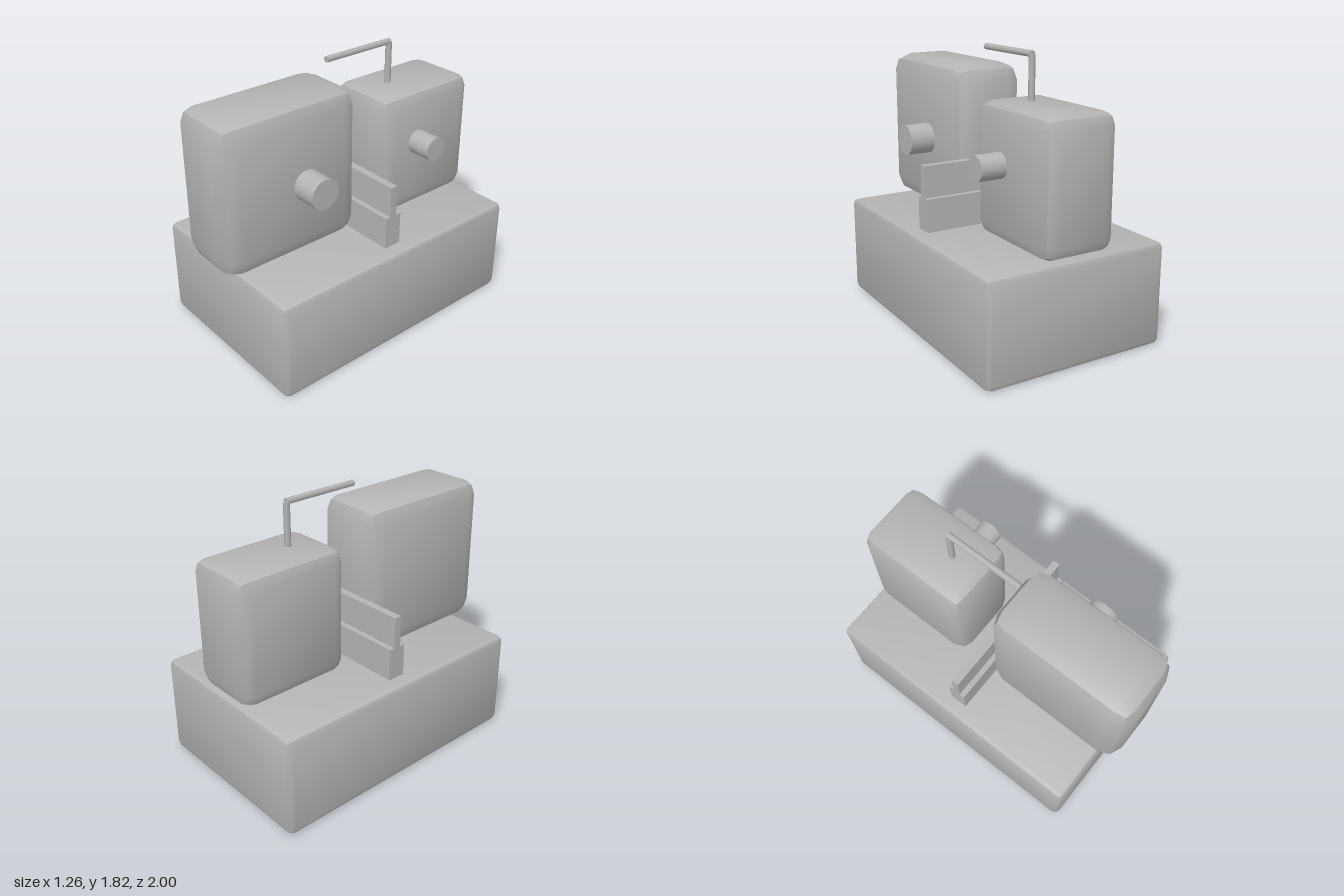
import * as THREE from 'three';
import { RoundedBoxGeometry } from 'three/addons/geometries/RoundedBoxGeometry.js';
import { toCreasedNormals } from 'three/addons/utils/BufferGeometryUtils.js';

export function createModel() {
  const model = new THREE.Group();
  const grey = new THREE.MeshStandardMaterial({ color: 0xb4b4b4 });
  grey.name = 'plain grey';

  const add = (name, geometry, x, y, z) => {
    const mesh = new THREE.Mesh(geometry, grey);
    mesh.name = name;
    mesh.position.set(x, y, z);
    model.add(mesh);
    return mesh;
  };

  // Block with bevelled edges, creased along the middle of each bevel
  const block = (name, size, radius, x, y, z) =>
    add(name, toCreasedNormals(new RoundedBoxGeometry(...size, 1, radius), 0.6), x, y, z);

  // Base and the two upright housings
  block('base', [1.26, 0.674, 1.89], 0.04, 0, 0.337, -0.055);
  block('frontHousing', [0.5, 1.006, 1.005], 0.115, 0, 1.18, 0.4975);
  block('rearHousing', [0.5, 0.84, 0.78], 0.085, 0, 1.096, -0.61);

  // Stepped divider between the housings
  add('dividerFoot', new THREE.BoxGeometry(1.05, 0.22, 0.122), 0, 0.78, -0.049);
  add('dividerBlade', new THREE.BoxGeometry(1.05, 0.206, 0.05), 0, 0.993, -0.048);

  // Round knobs on the left side
  for (const [name, radius, z] of [['frontKnob', 0.1, 0.41], ['rearKnob', 0.08, -0.515]]) {
    const knob = add(name, new THREE.CylinderGeometry(radius, radius, 0.2, 32), 0.32, 1.162, z);
    knob.rotation.z = -Math.PI / 2;
  }

  // Bent rod on top of the rear housing
  add('rodPost', new THREE.CylinderGeometry(0.021, 0.021, 0.3, 8), 0, 1.64, -0.467);
  const arm = add('rodArm', new THREE.CylinderGeometry(0.021, 0.021, 0.525, 8), 0, 1.795, -0.208);
  arm.rotation.x = Math.PI / 2;

  return model;
}
